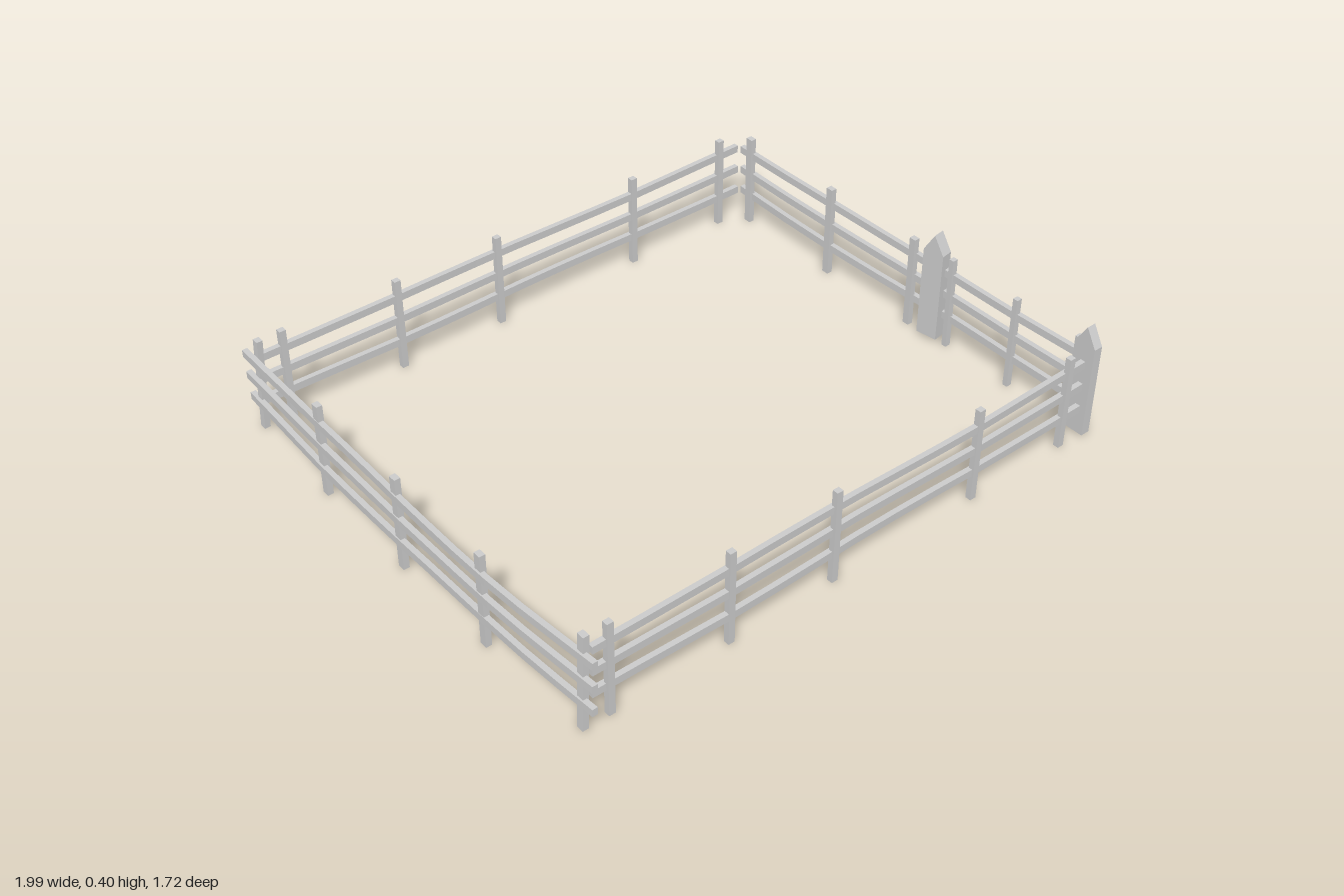
import * as THREE from 'three';

const material = new THREE.MeshStandardMaterial({ color: 0xcccccc, flatShading: true });
const POST_HEIGHT = 0.335;
const RAIL_HEIGHTS = [0.102, 0.185, 0.267];

function addMesh(parent, geometry, name) {
  const mesh = new THREE.Mesh(geometry, material);
  mesh.name = name;
  parent.add(mesh);
  return mesh;
}

// Offset of a slightly bowed rail at distance s along its run
function bowAt(path, s) {
  let i = 0;
  while (i < path.length - 2 && s > path[i + 1][0]) i++;
  const [s0, d0] = path[i], [s1, d1] = path[i + 1];
  return THREE.MathUtils.lerp(d0, d1, (s - s0) / (s1 - s0));
}

// Three bowed rails along local x, following [along, offset] points
function addRails(parent, path) {
  const start = path[0][0], end = path[path.length - 1][0];
  RAIL_HEIGHTS.forEach((y, i) => {
    const geometry = new THREE.BoxGeometry(end - start, 0.026, 0.018, 12, 1, 1);
    geometry.translate((start + end) / 2, y, 0);
    const p = geometry.attributes.position;
    for (let k = 0; k < p.count; k++) {
      const s = p.getX(k);
      p.setZ(k, p.getZ(k) + bowAt(path, s) + (i - 1) * 0.003 * Math.sin(s * 5));
    }
    geometry.computeVertexNormals();
    addMesh(parent, geometry, 'rail');
  });
}

// Upright posts: [along, offset, width, lean along, lean across]
function addPosts(parent, posts) {
  for (const [s, d, width = 0.024, leanS = 0, leanD = 0] of posts) {
    const geometry = new THREE.BoxGeometry(width, POST_HEIGHT, 0.02);
    const p = geometry.attributes.position;
    for (let k = 0; k < p.count; k++) {
      const t = p.getY(k) / POST_HEIGHT;
      p.setXYZ(k, p.getX(k) + s + leanS * t, p.getY(k) + POST_HEIGHT / 2, p.getZ(k) + d + leanD * t);
    }
    geometry.computeVertexNormals();
    addMesh(parent, geometry, 'post');
  }
}

function addSide(root, name, turn, paths, posts) {
  const side = new THREE.Group();
  side.name = name;
  side.rotation.y = turn;
  paths.forEach((path) => addRails(side, path));
  addPosts(side, posts);
  root.add(side);
}

// Broad gate board with a pointed top, facing the left side
function addGateBoard(root, x, z, thickness, turn) {
  const shape = new THREE.Shape();
  shape.moveTo(-0.038, 0.012);
  shape.lineTo(0.038, 0.012);
  shape.lineTo(0.038, 0.338);
  shape.lineTo(0, 0.403);
  shape.lineTo(-0.038, 0.338);
  const geometry = new THREE.ExtrudeGeometry(shape, { depth: thickness, bevelEnabled: false });
  geometry.translate(0, 0, -thickness / 2);
  const board = addMesh(root, geometry, 'gateBoard');
  board.position.set(x, 0, z);
  board.rotation.y = Math.PI / 2 + turn;
}

export function createModel() {
  const root = new THREE.Group();
  root.name = 'paddockFence';

  // Front and back runs, along x
  const spots = [-0.87, -0.457, -0.072, 0.488, 0.873];
  addSide(root, 'frontFence', 0,
    [[[-0.925, 0.797], [-0.45, 0.802], [0.05, 0.795], [0.5, 0.801], [0.955, 0.794]]],
    spots.map((s) => [s, 0.804, 0.022]));
  addSide(root, 'backFence', 0,
    [[[-0.955, -0.815], [-0.45, -0.809], [0.05, -0.816], [0.5, -0.81], [0.96, -0.815]]],
    spots.map((s) => [s, -0.807, 0.022]));

  // Side runs are turned so that local x points to -z and local z to +x
  addSide(root, 'rightFence', Math.PI / 2,
    [[[-0.855, -0.954], [-0.6, -0.974], [-0.38, -0.983], [0.02, -0.985], [0.43, -0.982], [0.86, -0.97]]],
    [[-0.8, -0.952, 0.026, 0, 0.012], [-0.39, -0.977, 0.026], [0.012, -0.98, 0.026],
      [0.425, -0.977, 0.026], [0.813, -0.956, 0.024, -0.014, 0.01]]);
  addSide(root, 'leftFence', Math.PI / 2,
    [
      [[-0.15, 0.98], [0.1, 0.974], [0.34, 0.971], [0.55, 0.971], [0.8, 0.976]],
      [[-0.765, 0.986], [-0.49, 0.982], [-0.15, 0.985]],
    ],
    [[-0.75, 0.978, 0.026], [-0.495, 0.974, 0.018], [-0.22, 0.976, 0.018, 0.003],
      [-0.053, 0.967, 0.024], [0.335, 0.963, 0.026], [0.747, 0.967, 0.026]]);

  // Pair of gate boards
  addGateBoard(root, 0.967, 0.79, 0.032, 0);
  addGateBoard(root, 0.97, 0.152, 0.042, 0.15);
  return root;
}
